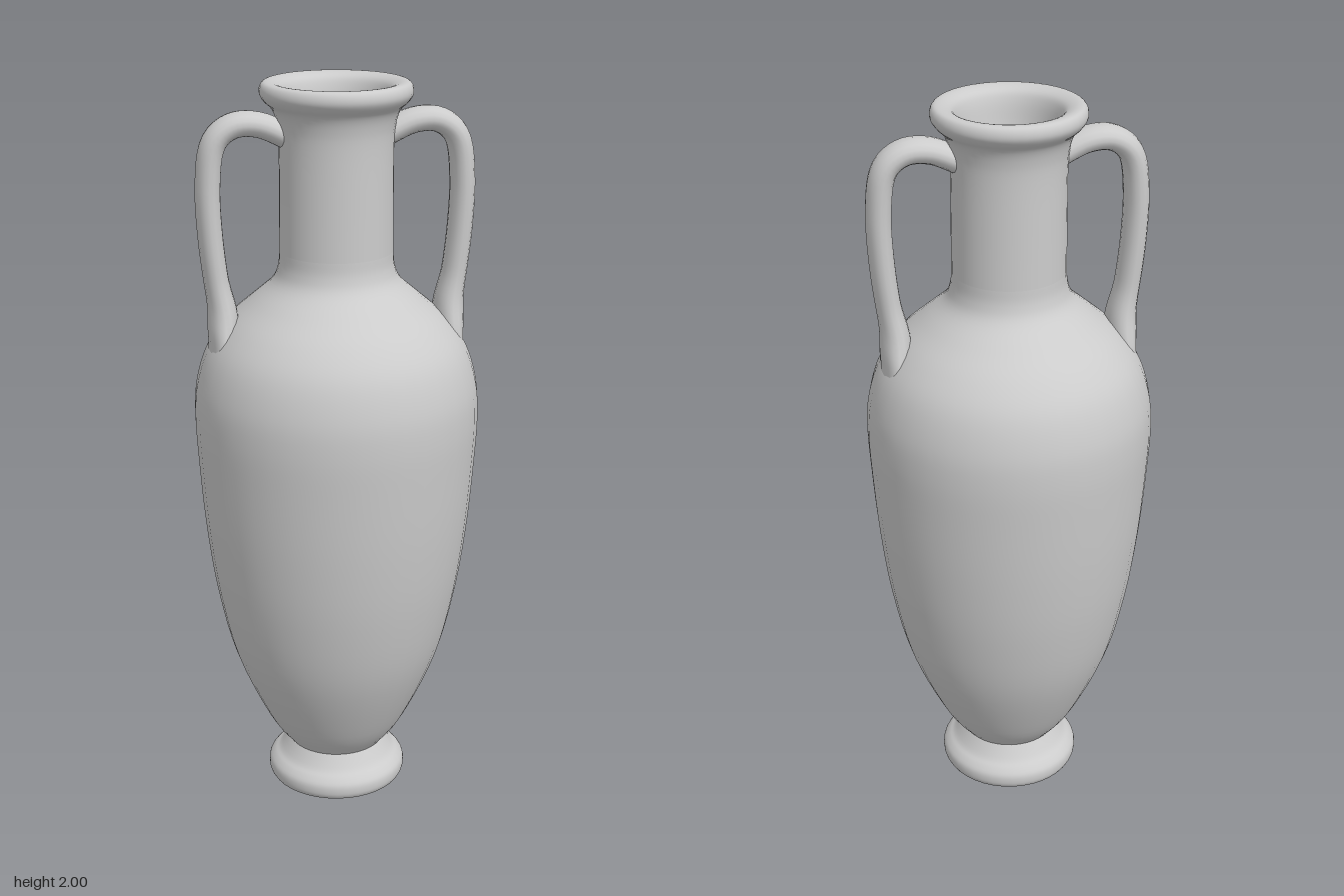
import * as THREE from 'three';

const clay = new THREE.MeshStandardMaterial({ color: 0xcccccc });

// Revolves a list of [radius, height] points around the y axis
function turned(name, points, segments = 40) {
  const profile = points.map(([r, y]) => new THREE.Vector2(r, y));
  const mesh = new THREE.Mesh(new THREE.LatheGeometry(profile, segments), clay);
  mesh.name = name;
  return mesh;
}

// Smooths a coarse profile
function smooth(points, count) {
  const curve = new THREE.SplineCurve(points.map(([r, y]) => new THREE.Vector2(r, y)));
  return curve.getPoints(count).map((p) => [p.x, p.y]);
}

// Handle: ellipses swept along a path in the xy plane, flaring where it meets the shoulder
function handleGeometry() {
  const path = new THREE.SplineCurve([
    [0.125, 1.86], [0.2, 1.893], [0.27, 1.892], [0.32, 1.845], [0.335, 1.74],
    [0.332, 1.62], [0.32, 1.5], [0.305, 1.41], [0.305, 1.34], [0.312, 1.27],
  ].map(([x, y]) => new THREE.Vector2(x, y)));
  const rings = 44, sides = 16, positions = [], indices = [];
  for (let i = 0; i <= rings; i++) {
    const t = i / rings;
    const p = path.getPoint(t), d = path.getTangent(t);
    const flare = THREE.MathUtils.smoothstep(t, 0.66, 1);
    const thick = 0.033 + 0.008 * Math.sin(Math.PI * flare);
    const wide = 0.047 + 0.048 * flare;
    for (let j = 0; j < sides; j++) {
      const a = (j / sides) * Math.PI * 2;
      const n = Math.cos(a) * thick;
      positions.push(p.x - d.y * n, p.y + d.x * n, Math.sin(a) * wide);
      if (i < rings) {
        const k = (j + 1) % sides;
        const p0 = i * sides + j, p1 = i * sides + k;
        indices.push(p0, p1, p0 + sides, p1, p1 + sides, p0 + sides);
      }
    }
  }
  const geometry = new THREE.BufferGeometry();
  geometry.setAttribute('position', new THREE.Float32BufferAttribute(positions, 3));
  geometry.setIndex(indices);
  geometry.computeVertexNormals();
  return geometry;
}

export function createModel() {
  const group = new THREE.Group();
  group.name = 'amphora';

  // Foot with a flat underside and a rounded edge
  group.add(turned('footUnderside', [[0, 0.002], [0.188, 0.005]]));
  group.add(turned('foot', smooth([
    [0.188, 0.005], [0.195, 0.02], [0.194, 0.045], [0.18, 0.064], [0.161, 0.08], [0.136, 0.118],
  ], 18)));

  // Belly and shoulder
  group.add(turned('body', smooth([
    [0.136, 0.118], [0.198, 0.205], [0.285, 0.4], [0.334, 0.6], [0.362, 0.8], [0.378, 1.0],
    [0.383, 1.12], [0.375, 1.21], [0.346, 1.3], [0.295, 1.37], [0.228, 1.43], [0.172, 1.48],
    [0.154, 1.52], [0.15, 1.56],
  ], 64)));

  // Neck flaring softly into the lip, which rolls over into the mouth
  group.add(turned('neckAndLip', smooth([
    [0.15, 1.56], [0.149, 1.7], [0.149, 1.84], [0.154, 1.895], [0.166, 1.93], [0.186, 1.95],
    [0.197, 1.968], [0.196, 1.986], [0.186, 1.998], [0.165, 1.998], [0.142, 1.986],
    [0.13, 1.96], [0.122, 1.92],
  ], 54)));

  // Hollow inside, running down to a rounded floor
  group.add(turned('interior', smooth([
    [0.122, 1.92], [0.112, 1.85], [0.11, 1.7], [0.112, 1.52], [0.16, 1.44], [0.25, 1.36],
    [0.31, 1.26], [0.34, 1.12], [0.325, 0.8], [0.25, 0.42], [0.16, 0.23], [0.08, 0.18], [0, 0.17],
  ], 50)));

  // Handles, one on each side
  const geometry = handleGeometry();
  for (const [name, turn] of [['leftHandle', 0], ['rightHandle', Math.PI]]) {
    const handle = new THREE.Mesh(geometry, clay);
    handle.name = name;
    handle.rotation.y = turn;
    group.add(handle);
  }
  return group;
}
